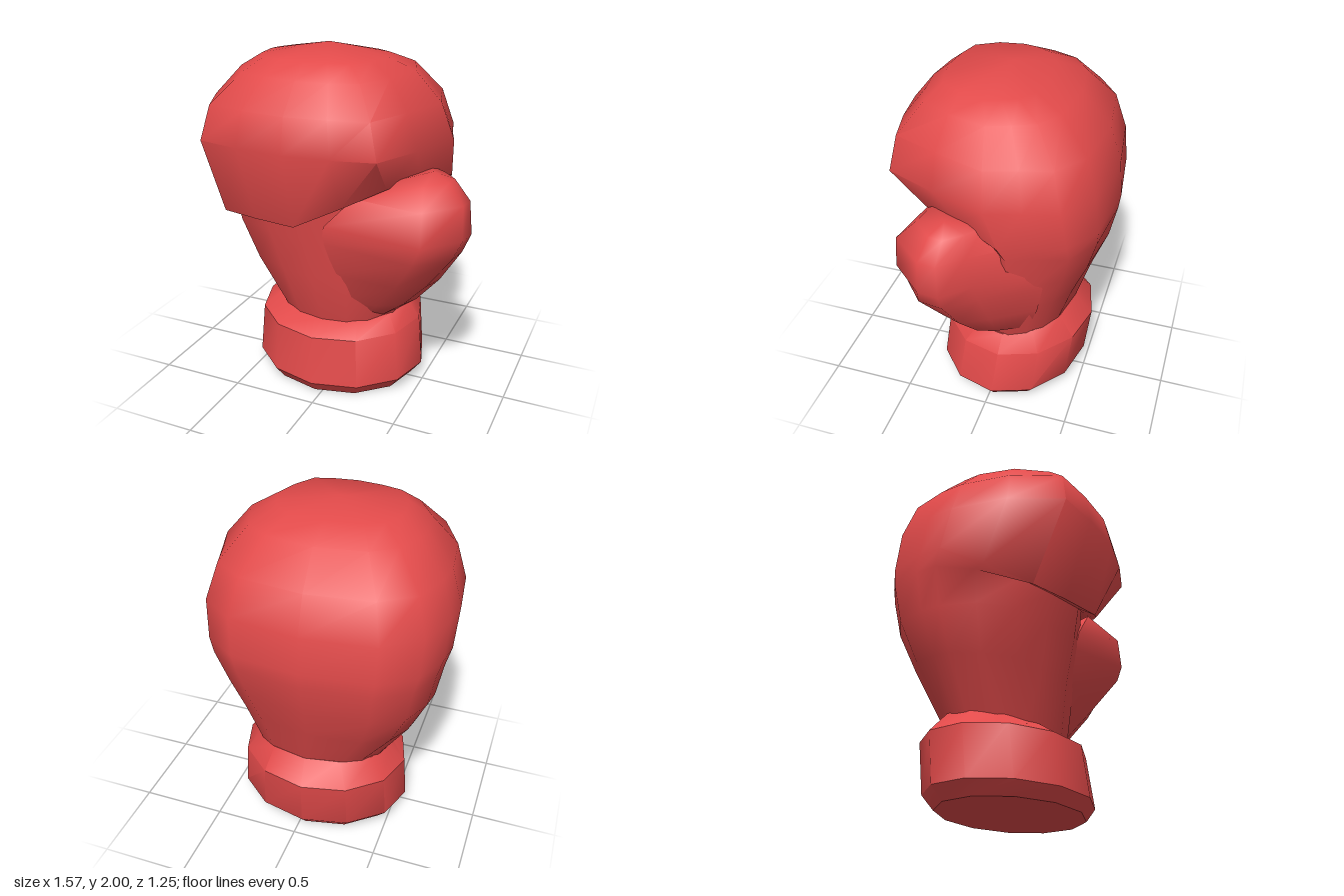
import * as THREE from 'three';
import { toCreasedNormals } from 'three/addons/utils/BufferGeometryUtils.js';

// Skin a stack of equal-length loops, closing both ends with a centre point.
function loft(rings, bottom, top, crease) {
  const n = rings[0].length;
  const points = [...rings.flat(), bottom, top];
  const index = [];
  for (let i = 0; i < rings.length; i++) {
    for (let j = 0; j < n; j++) {
      const a = i * n + j;
      const b = i * n + ((j + 1) % n);
      if (i === 0) index.push(a, b, points.length - 2);
      if (i === rings.length - 1) index.push(a, points.length - 1, b);
      else index.push(a, a + n, b, b, a + n, b + n);
    }
  }
  const geometry = new THREE.BufferGeometry();
  geometry.setAttribute('position', new THREE.Float32BufferAttribute(points.flat(), 3));
  geometry.setIndex(index);
  return toCreasedNormals(geometry, crease);
}

// One loop: x range, z range and a height rule taking (x, v).
function ring(outline, left, right, back, front, height) {
  const cx = (left + right) / 2;
  const hx = (right - left) / 2;
  return outline.map(([u, v]) => {
    const x = cx + u * hx;
    const z = (back + front) / 2 + (v * (front - back)) / 2;
    return [x, height(x, v), z];
  });
}

const level = (y, tilt = 0) => (x, v) => y - tilt * v;

// Pull an outline towards a circle: t on the thumb side, s on the outer side.
const soften = (outline, t, s) => outline.map(([u, v]) => {
  const k = 1 + (1 / Math.hypot(u, v) - 1) * (u > 0 ? t : s);
  return [u * k, v * k];
});

// Palm, back of the hand and overhanging fist.
function createMitt() {
  const fist = [
    // thumb side, back to front: narrows towards the front
    [0, -1], [0.57, -0.92], [0.84, -0.7], [0.91, -0.4], [1, -0.1],
    [0.85, 0.4], [0.69, 0.86], [0.36, 0.95],
    // outer side, front to back
    [0, 1], [-0.4, 0.95], [-0.76, 0.86], [-0.95, 0.4], [-1, -0.1],
    [-0.97, -0.34], [-0.85, -0.7], [-0.57, -0.92],
  ];
  // The palm and finger edge bow back at the front corners.
  const palm = fist.map(([u, v]) => [u, v > 0 ? v * (1 - 0.22 * Math.abs(u)) : v]);
  const wrist = soften(fist, 1, 1);
  // The finger edge dips at the front and climbs towards the thumb.
  const edge = (backY, lift) => (x, v) => {
    const w = THREE.MathUtils.clamp((v + 0.1) / 0.8, 0, 1);
    const slope = x > -0.08 ? 0.5 : 0.07;
    return backY * (1 - w) + (1.09 + lift + slope * (x + 0.08)) * w;
  };
  const rings = [
    ring(wrist, -0.41, 0.33, -0.37, 0.23, level(0.38, 0.05)),
    ring(wrist, -0.45, 0.37, -0.41, 0.27, level(0.485, 0.055)),
    ring(soften(palm, 0.7, 0.1), -0.61, 0.45, -0.49, 0.32, level(0.75, 0.04)),
    ring(soften(palm, 0.4, 0), -0.71, 0.51, -0.57, 0.38, level(0.98, 0.02)),
    ring(palm, -0.75, 0.56, -0.61, 0.41, edge(1.2, 0.06)),
    ring(palm, -0.775, 0.59, -0.62, 0.505, edge(1.29, 0)),
    ring(fist, -0.785, 0.61, -0.6, 0.625, level(1.51, -0.01)),
    ring(fist, -0.72, 0.54, -0.53, 0.585, level(1.71)),
    ring(soften(fist, 0.3, 0.3), -0.57, 0.4, -0.37, 0.46, level(1.875, 0.01)),
    ring(soften(fist, 0.3, 0.3), -0.44, 0.27, -0.2, 0.36, level(1.945)),
  ];
  return loft(rings, [-0.05, 0.38, -0.05], [-0.1, 2, 0.01], 0.95);
}

// Thumb: each section runs from its back root, around the outside, to the palm.
function createThumb() {
  const sections = [
    [0.44, [0.24, -0.18], [0.29, -0.05], [0.3, 0.05], [0.26, 0.12], [0.17, 0.17], [0.05, 0.17]],
    [0.56, [0.34, -0.22], [0.43, -0.05], [0.46, 0.05], [0.41, 0.15], [0.28, 0.22], [0.05, 0.24]],
    [0.74, [0.38, -0.28], [0.53, -0.05], [0.61, 0.1], [0.57, 0.22], [0.42, 0.31], [0.02, 0.29]],
    [0.95, [0.43, -0.32], [0.62, -0.02], [0.74, 0.14], [0.72, 0.28], [0.55, 0.43], [0, 0.35]],
    [1.06, [0.45, -0.3], [0.65, 0], [0.785, 0.14], [0.77, 0.26], [0.6, 0.45], [0.02, 0.37]],
    [1.25, [0.48, -0.2], [0.66, 0.03], [0.77, 0.15], [0.76, 0.25], [0.6, 0.435], [0.2, 0.37]],
    [1.355, [0.5, -0.02], [0.6, 0.05], [0.68, 0.14], [0.67, 0.22], [0.57, 0.33], [0.4, 0.3]],
  ];
  const rings = sections.map(([y, ...loop]) => loop.map(([x, z]) => [x, y, z]));
  return loft(rings, [0.18, 0.42, 0], [0.57, 1.39, 0.17], 1.5);
}

// Wrist cuff: a tilted band with bevelled rims.
function createCuff() {
  const outline = [];
  for (let i = 0; i < 12; i++) {
    const a = (i / 12) * Math.PI * 2;
    outline.push([Math.sin(a), -Math.cos(a)]);
  }
  const rings = [
    ring(outline, -0.51, 0.42, -0.42, 0.37, level(0.02, 0.015)),
    ring(outline, -0.57, 0.48, -0.485, 0.42, level(0.095, 0.02)),
    ring(outline, -0.555, 0.445, -0.515, 0.385, level(0.385, 0.025)),
    ring(outline, -0.45, 0.37, -0.41, 0.27, level(0.485, 0.055)),
  ];
  return loft(rings, [-0.045, 0.02, -0.03], [-0.04, 0.485, -0.07], 0.66);
}

export function createModel() {
  const redLeather = new THREE.MeshStandardMaterial({ color: 0xe24a4a });
  redLeather.name = 'redLeather';

  const model = new THREE.Group();
  model.name = 'boxingGlove';
  const parts = { mitt: createMitt(), thumb: createThumb(), cuff: createCuff() };
  for (const [name, geometry] of Object.entries(parts)) {
    const mesh = new THREE.Mesh(geometry, redLeather);
    mesh.name = name;
    model.add(mesh);
  }
  return model;
}
